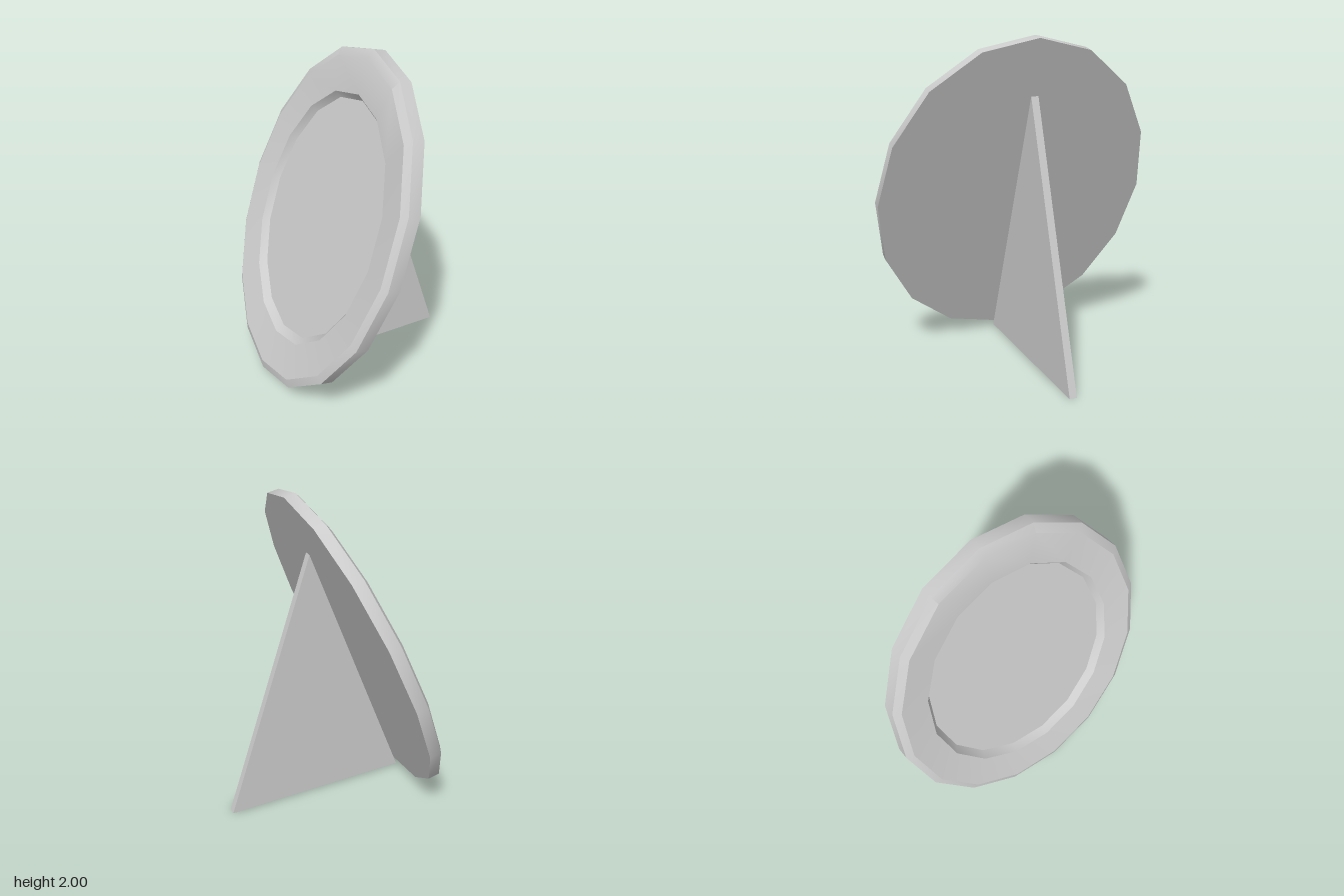
import * as THREE from 'three';
import { toCreasedNormals } from 'three/addons/utils/BufferGeometryUtils.js';

const material = new THREE.MeshStandardMaterial({ color: 0xcccccc });

// Leaning oval frame: a 16-sided turned profile, mapped onto tilted axes
function makeFrame() {
  const profile = [
    [0, 0], [1, 0],         // flat back
    [1, 1], [0.95, 1.3],    // rim and chamfer
    [0.745, 0.97],          // face sloping inward
    [0.71, 0.4], [0, 0.4],  // recess wall and floor
  ].map(([r, h]) => new THREE.Vector2(r, h));
  const lathe = new THREE.LatheGeometry(profile, 16);

  // oval's long axis, thickness axis and width axis
  const lean = new THREE.Matrix4().makeBasis(
    new THREE.Vector3(0.385, 0.9725, 0),
    new THREE.Vector3(-0.07, 0.015, 0),
    new THREE.Vector3(0, 0, 0.863)
  );
  lean.setPosition(-0.172, 1.0125, 0);
  lathe.applyMatrix4(lean);

  const frame = new THREE.Mesh(toCreasedNormals(lathe, 0.5), material);
  frame.name = 'ovalFrame';
  return frame;
}

// Thin triangular stand behind the frame, turned very slightly
function makeStand() {
  const thickness = 0.046;
  const outline = new THREE.Shape([
    new THREE.Vector2(-0.555, 0.015),
    new THREE.Vector2(0.625, 0),
    new THREE.Vector2(0.085, 1.65),
  ]);
  const geometry = new THREE.ExtrudeGeometry(outline, { depth: thickness, bevelEnabled: false });
  geometry.translate(0, 0, -thickness / 2);
  const stand = new THREE.Mesh(geometry, material);
  stand.rotation.y = 0.022;
  stand.position.z = -0.02;
  stand.name = 'triangularStand';
  return stand;
}

export function createModel() {
  const model = new THREE.Group();
  model.name = 'standingOvalFrame';
  model.add(makeFrame(), makeStand());
  return model;
}
